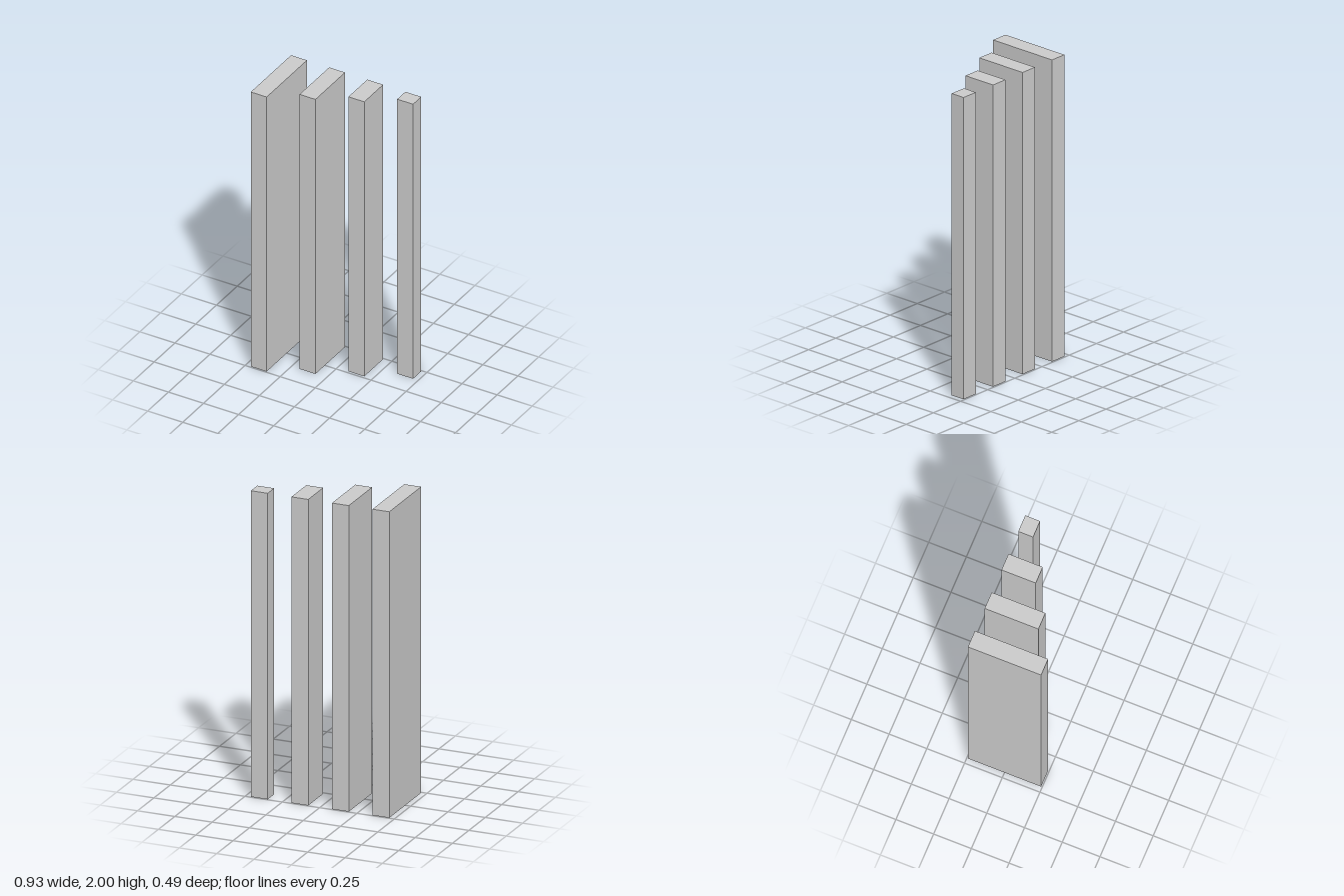
import * as THREE from 'three';

export function createModel() {
  const model = new THREE.Group();
  model.name = 'steppedPillars';
  const material = new THREE.MeshStandardMaterial({ color: 0xcccccc, flatShading: true });

  const width = 0.113, height = 2, spacing = 0.2715;
  const backZ = -0.2425, maxDepth = 0.485, depthStep = 0.129;

  // Four upright slabs, flush at the back, each shallower than the one before
  for (let i = 0; i < 4; i++) {
    const depth = maxDepth - i * depthStep;
    const pillar = new THREE.Mesh(new THREE.BoxGeometry(width, height, depth), material);
    pillar.name = `pillar${i + 1}`;
    pillar.position.set((i - 1.5) * spacing, height / 2, backZ + depth / 2);
    model.add(pillar);
  }
  return model;
}
